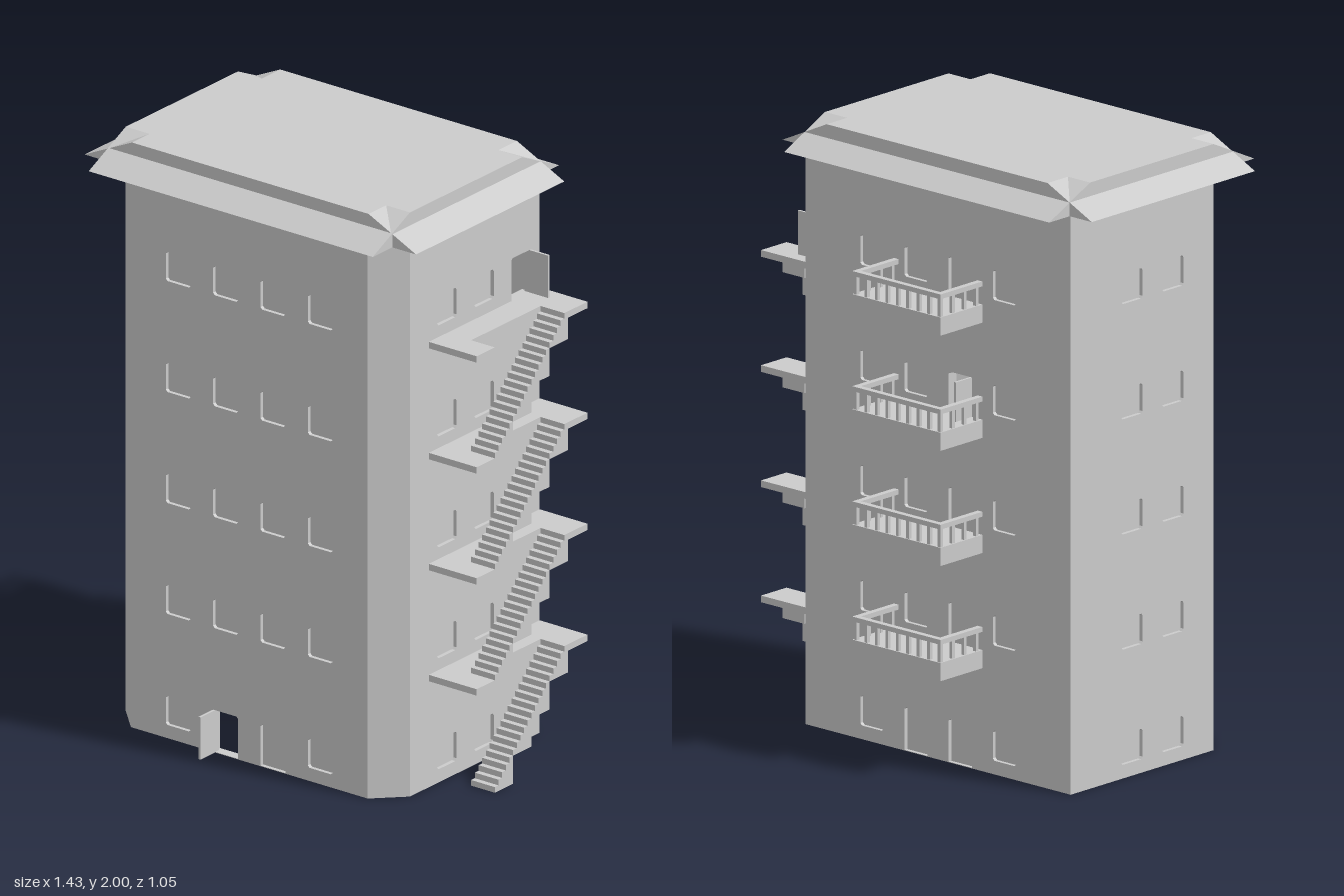
import * as THREE from 'three';

const mat = new THREE.MeshStandardMaterial({ color: 0xcccccc, side: THREE.DoubleSide });
const T = 0.035;        // wall thickness
const WALL_H = 1.91;
const FLOOR = 0.38;     // storey height
const WIN = 0.1, DOOR_H = 0.145;

function add(parent, name, geo, x = 0, y = 0, z = 0) {
  const m = new THREE.Mesh(geo, mat);
  m.name = name;
  m.position.set(x, y, z);
  parent.add(m);
  return m;
}

// Box given by its two extreme corners
function box(parent, name, x0, x1, y0, y1, z0, z1) {
  return add(parent, name, new THREE.BoxGeometry(x1 - x0, y1 - y0, z1 - z0),
    (x0 + x1) / 2, (y0 + y1) / 2, (z0 + z1) / 2);
}

function extrude(points, depth) {
  const shape = new THREE.Shape(points.map(p => new THREE.Vector2(p[0], p[1])));
  return new THREE.ExtrudeGeometry(shape, { depth, bevelEnabled: false });
}

// Opening outline with slightly cut corners
function openingPath(o) {
  const c = 0.007, x0 = o.u - WIN / 2, x1 = o.u + WIN / 2, y0 = Math.max(o.y0, 0.002), y1 = o.y1;
  const b = o.door ? 0 : c;
  return new THREE.Path([[x0 + b, y0], [x1 - b, y0], [x1, y0 + b], [x1, y1 - c],
    [x1 - c, y1], [x0 + c, y1], [x0, y1 - c], [x0, y0 + b]].map(p => new THREE.Vector2(p[0], p[1])));
}

const windowAt = (u, level) => ({ u, y0: 0.045 + FLOOR * level, y1: 0.145 + FLOOR * level });
// open: -1 / +1 puts the swung leaf on that side of the opening
const doorAt = (u, level, open = 0) => {
  const y0 = level ? 0.005 + FLOOR * level : 0;
  return { u, y0, y1: y0 + DOOR_H, door: true, open };
};

// Wall panel with pierced openings, recessed panes and door leaves
function wall(parent, name, u0, u1, dist, angle, openings) {
  const g = new THREE.Group();
  g.name = name;
  g.rotation.y = angle;
  parent.add(g);
  const shape = new THREE.Shape([[u0, 0], [u1, 0], [u1, WALL_H], [u0, WALL_H]].map(p => new THREE.Vector2(p[0], p[1])));
  openings.forEach(o => shape.holes.push(openingPath(o)));
  add(g, name + 'Panel', new THREE.ExtrudeGeometry(shape, { depth: T, bevelEnabled: false }), 0, 0, dist - T);
  openings.forEach(o => {
    if (o.open) {
      const u = o.u + o.open * (WIN / 2 - 0.004);
      box(g, 'openDoor', u - 0.004, u + 0.004, o.y0, o.y1, dist - 0.02, dist + 0.075);
    } else {
      box(g, o.door ? 'closedDoor' : 'windowPane', o.u - WIN / 2, o.u + WIN / 2,
        o.y0, o.y1, dist - 0.023, dist - 0.013);
    }
  });
}

function buildWalls(parent) {
  const cols = [-0.335, -0.145, 0.045, 0.235];
  const front = [], back = [], right = [], left = [];
  for (let k = 0; k < 5; k++) {
    cols.forEach((x, i) => {
      const middle = i === 1 || i === 2;
      front.push(k === 0 && middle ? doorAt(x, 0, i === 1 ? -1 : 0) : windowAt(x, k));
      const backDoor = k === 0 ? middle : i === 1;
      back.push(backDoor ? doorAt(-x, k, k === 3 ? 1 : 0) : windowAt(-x, k));
    });
    [0.145, -0.045].forEach(z => {
      right.push(windowAt(-z, k));
      left.push(windowAt(z, k));
    });
    if (k > 0) right.push(doorAt(0.235, k, k === 4 ? 1 : 0));
  }
  wall(parent, 'frontWall', -0.525, 0.425, 0.43, 0, front);
  wall(parent, 'stairSideWall', -0.335, 0.33, 0.52, Math.PI / 2, right);
  wall(parent, 'backWall', -0.485, 0.585, 0.33, Math.PI, back);
  wall(parent, 'plainSideWall', -0.33, 0.335, 0.62, -Math.PI / 2, left);

  // Chamfered front corners, mirrored about the centre of the block
  [1, -1].forEach(s => {
    const pts = [[0.475, 0.43], [0.57, 0.335], [0.535, 0.335], [0.475, 0.395]]
      .map(([x, z]) => [-0.05 + s * x, -z]);
    add(parent, 'corner', extrude(pts, WALL_H).rotateX(-Math.PI / 2));
  });
}

// Roof: two crossing trapezoid prisms that leave notched corners
function buildRoof(parent) {
  const profile = (a, b, c, d) => [[a, WALL_H], [d, WALL_H], [c, 2], [b, 2]];
  add(parent, 'roofAcross', extrude(profile(-0.525, -0.335, 0.24, 0.43), 1.14).rotateY(Math.PI / 2), -0.62);
  add(parent, 'roofAlong', extrude(profile(-0.715, -0.525, 0.425, 0.615), 0.76), 0, 0, -0.335);
}

function buildBalcony(parent, y) {
  const g = new THREE.Group();
  g.name = 'balcony';
  g.position.y = y;
  parent.add(g);
  const x0 = -0.24, x1 = 0.14, zo = -0.525, zi = -0.33, w = 0.02, p = 0.006;
  box(g, 'balconyBase', x0, x1, 0, 0.06, zo, zi);
  box(g, 'frontRail', x0, x1, 0.12, 0.136, zo, zo + w);
  box(g, 'sideRail', x0, x0 + w, 0.12, 0.136, zo + w, zi);
  box(g, 'sideRail', x1 - w, x1, 0.12, 0.136, zo + w, zi);
  const post = (x, z) => box(g, 'baluster', x - p, x + p, 0.06, 0.12, z - p, z + p);
  for (let i = 0; i <= 8; i++) post(x0 + w / 2 + i * (x1 - x0 - w) / 8, zo + w / 2);
  for (let i = 1; i <= 3; i++) {
    const z = zo + w / 2 + i * 0.055;
    post(x0 + w / 2, z);
    post(x1 - w / 2, z);
  }
}

// One flight: fine treads above, four coarse blocks below
function flightGeometry(rise) {
  const steps = 20, blocks = 4, run = 0.375, pts = [[0, 0]];
  for (let i = 0; i < steps; i++) {
    pts.push([i * run / steps, (i + 1) * rise / steps], [(i + 1) * run / steps, (i + 1) * rise / steps]);
  }
  for (let j = blocks - 1; j >= 0; j--) {
    pts.push([(j + 1) * run / blocks, j * rise / blocks]);
    if (j > 0) pts.push([j * run / blocks, j * rise / blocks]);
  }
  return extrude(pts, 0.095).rotateY(Math.PI / 2);
}

function buildFireStairs(parent) {
  const g = new THREE.Group();
  g.name = 'outsideStairs';
  parent.add(g);
  for (let k = 0; k < 4; k++) {
    const y0 = k ? 0.005 + FLOOR * k : 0, y1 = 0.005 + FLOOR * (k + 1);
    add(g, 'stairFlight', flightGeometry(y1 - y0), 0.617, y0, 0.145);
    // Landing notched around the flight that rises through it
    const landing = [[0.52, 0.33], [0.52, -0.238], [0.712, -0.238], [0.712, -0.145],
      [0.617, -0.145], [0.617, 0.23], [0.712, 0.23], [0.712, 0.33]];
    add(g, 'landing', extrude(landing, 0.022).rotateX(-Math.PI / 2), 0, y1 - 0.022, 0);
  }
}

export function createModel() {
  const model = new THREE.Group();
  model.name = 'apartmentBlock';
  buildWalls(model);
  buildRoof(model);
  for (let k = 0; k < 4; k++) buildBalcony(model, 0.34 + FLOOR * k);
  buildFireStairs(model);
  return model;
}
